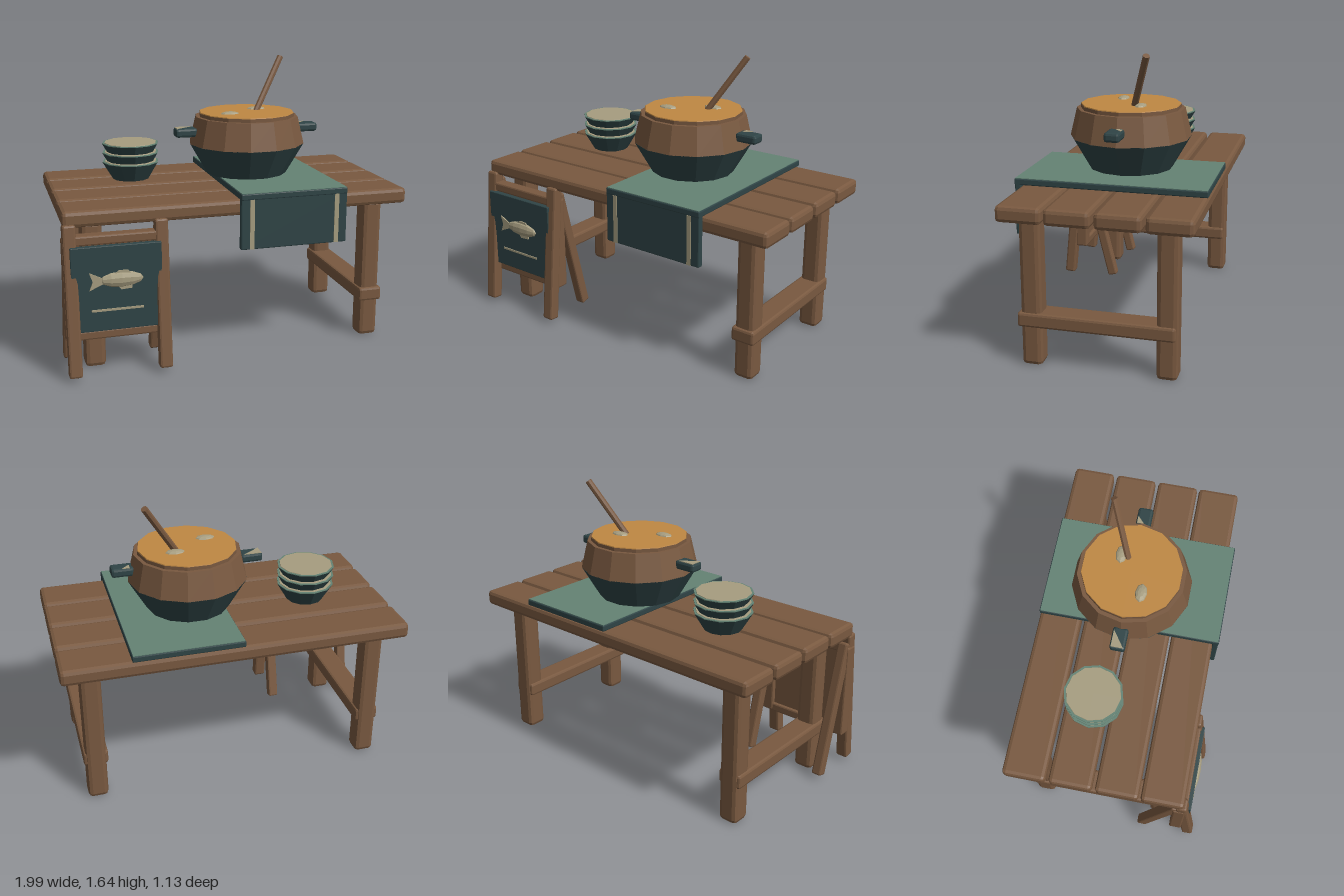
import * as THREE from 'three';
import { RoundedBoxGeometry } from 'three/addons/geometries/RoundedBoxGeometry.js';

export function createModel() {
  const root = new THREE.Group();
  root.name = 'cookingTable';
  const mat = (name, color) => {
    const m = new THREE.MeshStandardMaterial({ color, flatShading: true });
    m.name = name;
    return m;
  };
  const wood = mat('wood', 0x795940);
  const dark = mat('darkTeal', 0x2f4446);
  const teal = mat('lightTeal', 0x648374);
  const cream = mat('cream', 0xa69d80);
  const broth = mat('broth', 0xbf8843);

  const add = (parent, name, geo, material, x = 0, y = 0, z = 0) => {
    const m = new THREE.Mesh(geo, material);
    m.name = name;
    m.position.set(x, y, z);
    parent.add(m);
    return m;
  };
  const group = (name) => {
    const g = new THREE.Group();
    g.name = name;
    root.add(g);
    return g;
  };
  // Box given by its limits, with chamfered edges when bevel > 0
  const block = (parent, name, material, [x0, x1], [y0, y1], [z0, z1], bevel = 0) => {
    const size = [x1 - x0, y1 - y0, z1 - z0];
    const geo = bevel ? new RoundedBoxGeometry(...size, 1, bevel) : new THREE.BoxGeometry(...size);
    return add(parent, name, geo, material, (x0 + x1) / 2, (y0 + y1) / 2, (z0 + z1) / 2);
  };
  // Bar running between two points
  const bar = (parent, name, geoFn, material, a, b) => {
    const p = new THREE.Vector3(...a), q = new THREE.Vector3(...b);
    const d = q.clone().sub(p);
    const m = add(parent, name, geoFn(d.length()), material);
    m.position.copy(p).add(q).multiplyScalar(0.5);
    m.quaternion.setFromUnitVectors(new THREE.Vector3(0, 1, 0), d.normalize());
    return m;
  };
  // Straight-sided drum with a corner on the x axis
  const drum = (top, bottom, h, sides, open = false) =>
    new THREE.CylinderGeometry(top, bottom, h, sides, 1, open).rotateY(Math.PI / 2);

  // Table: planks, legs and side stretchers
  const table = group('table');
  for (const z of [-0.443, -0.178, 0.087, 0.345])
    block(table, 'plank', wood, [-0.985, 0.995], [0.84, 0.93], [z - 0.123, z + 0.123], 0.022);
  for (const x of [-0.82, 0.828]) {
    for (const z of [-0.413, 0.327])
      block(table, 'tableLeg', wood, [x - 0.058, x + 0.058], [0.005, 0.845], [z - 0.058, z + 0.058], 0.025);
    block(table, 'stretcher', wood, [x - 0.07, x + 0.07], [0.23, 0.312], [-0.46, 0.4], 0.014);
  }

  // Table runner with a hanging front
  const runner = group('runner');
  block(runner, 'runnerTop', dark, [-0.015, 0.61], [0.932, 0.968], [-0.568, 0.503], 0.006);
  block(runner, 'runnerFace', teal, [-0.01, 0.605], [0.964, 0.971], [-0.563, 0.498]);
  block(runner, 'runnerDrop', dark, [-0.015, 0.61], [0.65, 0.95], [0.465, 0.5], 0.006);
  for (const x of [0.048, 0.547])
    block(runner, 'runnerStripe', cream, [x - 0.013, x + 0.013], [0.652, 0.935], [0.497, 0.504]);

  // Pot
  const pot = group('pot');
  pot.position.set(0.185, 0, -0.05);
  add(pot, 'potBase', drum(0.345, 0.24, 0.182, 14), dark, 0, 1.061, 0);
  add(pot, 'potShoulder', drum(0.307, 0.345, 0.16, 14), wood, 0, 1.231, 0);
  add(pot, 'potRim', drum(0.285, 0.285, 0.022, 14), wood, 0, 1.32, 0);
  add(pot, 'brothSurface', drum(0.282, 0.284, 0.006, 14), broth, 0, 1.333, 0);
  for (const s of [-1, 1])
    block(pot, 'potHandle', dark, s < 0 ? [-0.44, -0.31] : [0.31, 0.44], [1.2, 1.252], [-0.043, 0.043], 0.014);
  // Pale corner patches on the handle tops
  const patch = (x, w, d) => {
    const s = new THREE.Shape([[0, 0], [w, 0], [0, -d]].map(([a, b]) => new THREE.Vector2(a, b)));
    const g = new THREE.ExtrudeGeometry(s, { depth: 0.004, bevelEnabled: false }).rotateX(-Math.PI / 2);
    add(pot, 'handlePatch', g, cream, x, 1.25, -0.036);
  };
  patch(-0.432, 0.1, 0.07);
  patch(0.335, 0.045, 0.04);
  for (const [x, z] of [[-0.125, 0.075], [0.085, -0.075]]) {
    const d = add(pot, 'dumpling', new THREE.SphereGeometry(1, 8, 6), cream, x, 1.334, z);
    d.scale.set(0.058, 0.016, 0.035);
  }
  bar(pot, 'spoonHandle', (l) => new THREE.CylinderGeometry(0.019, 0.019, l, 8), wood,
    [0.05, 1.29, -0.022], [0.262, 1.638, -0.147]);

  // Stack of bowls
  const bowls = group('bowls');
  bowls.position.set(-0.505, 0, -0.13);
  for (let i = 0; i < 3; i++) {
    const y = 1.055 + i * 0.055;
    add(bowls, 'bowl', drum(0.166, 0.107, 0.1, 12), dark, 0, y - 0.05, 0);
    add(bowls, 'bowlRim', drum(0.166, 0.166, 0.005, 12), teal, 0, y + 0.002, 0);
    add(bowls, 'bowlInside', drum(0.153, 0.155, 0.005, 12), cream, 0, y + 0.005, 0);
  }

  // Standing sign
  const sign = group('sign');
  block(sign, 'signBacking', wood, [-0.95, -0.47], [0.24, 0.78], [0.435, 0.482]);
  for (const x of [-0.955, -0.46]) {
    block(sign, 'signPost', wood, [x - 0.037, x + 0.037], [0.22, 0.785], [0.41, 0.485], 0.01);
    bar(sign, 'signFrontLeg', (l) => new RoundedBoxGeometry(0.072, l, 0.066, 1, 0.012), wood,
      [x + 0.003, 0.03, 0.533], [x + 0.003, 0.86, 0.453]);
    bar(sign, 'signBackLeg', (l) => new RoundedBoxGeometry(0.06, l, 0.06, 1, 0.01), wood,
      [x, 0.03, 0.235], [x, 0.81, 0.43]);
  }
  block(sign, 'signTopRail', wood, [-0.95, -0.465], [0.745, 0.8], [0.42, 0.49], 0.01);
  block(sign, 'signBottomRail', wood, [-0.95, -0.465], [0.215, 0.268], [0.415, 0.49], 0.01);
  block(sign, 'signPanel', dark, [-0.955, -0.465], [0.27, 0.745], [0.48, 0.513], 0.004);
  block(sign, 'signLine', cream, [-0.852, -0.57], [0.383, 0.395], [0.51, 0.518]);

  // Fish emblem: a faceted body with tail and fins
  const flat = (name, pts) => {
    const s = new THREE.Shape(pts.map(([a, b]) => new THREE.Vector2(a, b)));
    add(sign, name, new THREE.ExtrudeGeometry(s, { depth: 0.009, bevelEnabled: false }), cream, -0.68, 0.553, 0.511);
  };
  const body = add(sign, 'fishBody', new THREE.SphereGeometry(1, 10, 6).rotateZ(Math.PI / 2), cream, -0.685, 0.555, 0.513);
  body.scale.set(0.118, 0.044, 0.024);
  flat('fishTail', [[-0.1, 0.012], [-0.18, 0.052], [-0.162, 0], [-0.18, -0.048], [-0.1, -0.012]]);
  flat('fishTopFin', [[-0.05, 0.03], [0.05, 0.03], [0.03, 0.052], [-0.02, 0.054]]);
  flat('fishBottomFin', [[-0.03, -0.03], [-0.01, -0.054], [0.05, -0.05], [0.05, -0.03]]);

  return root;
}
